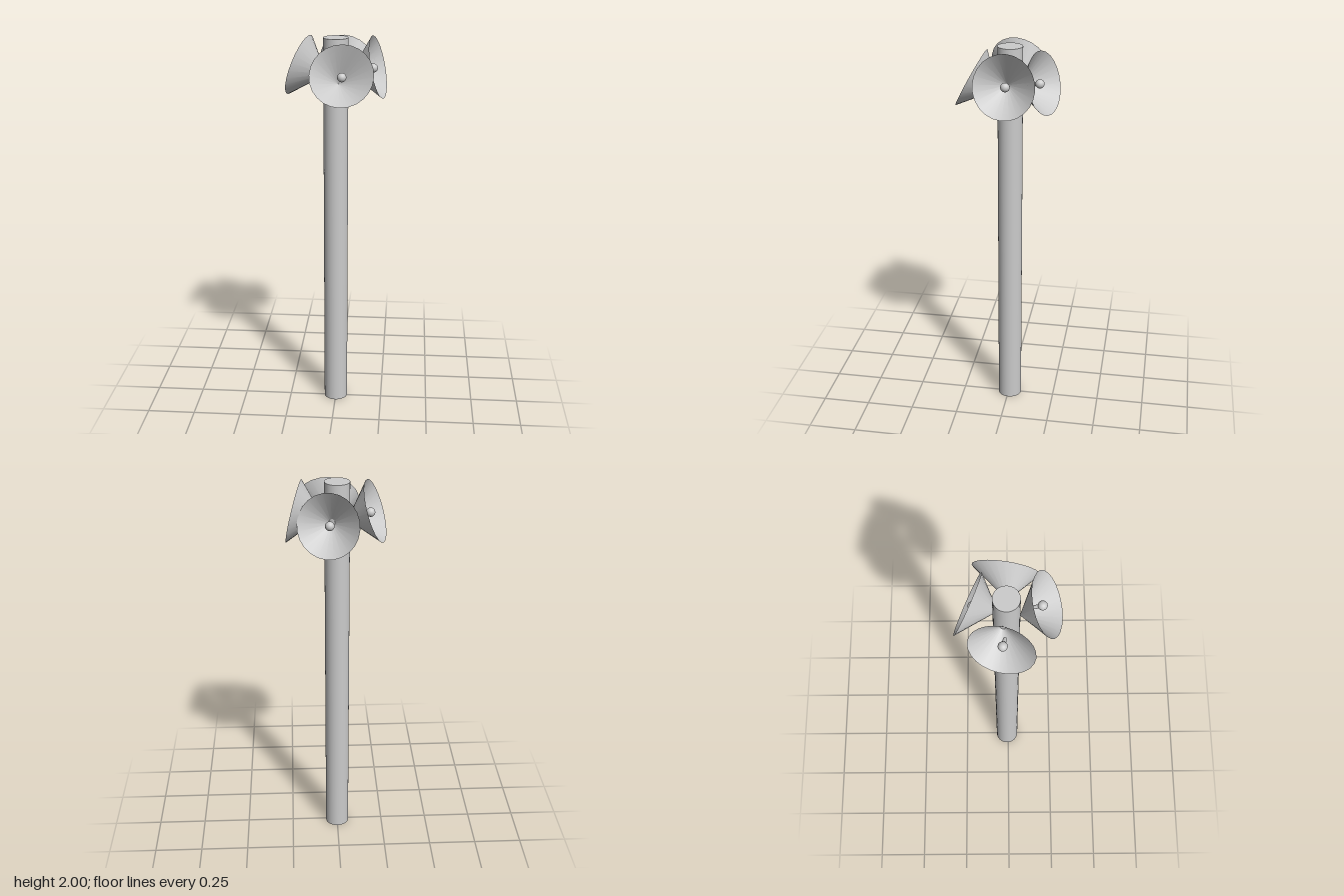
import * as THREE from 'three';

const RIM = 0.157, DEPTH = 0.14, SKEW = 0.027;

export function createModel() {
  const model = new THREE.Group();
  model.name = 'floodlightPole';
  const solid = new THREE.MeshStandardMaterial({ color: 0xcccccc });
  const thin = new THREE.MeshStandardMaterial({ color: 0xcccccc, side: THREE.DoubleSide });

  function add(parent, name, geometry, material) {
    const mesh = new THREE.Mesh(geometry, material);
    mesh.name = name;
    parent.add(mesh);
    return mesh;
  }

  // Upright pole
  add(model, 'pole', new THREE.CylinderGeometry(0.0625, 0.0625, 1.99, 32), solid)
    .position.set(0, 0.995, -0.007);

  // Conical reflector opening toward +z, its tip skewed sideways to meet the pole
  const reflector = new THREE.ConeGeometry(RIM, DEPTH, 24, 1, true);
  reflector.rotateX(-Math.PI / 2);
  reflector.translate(0, 0, -DEPTH / 2);
  const k = SKEW / DEPTH;
  reflector.applyMatrix4(new THREE.Matrix4().set(1, 0, k, 0, 0, 1, 0, 0, 0, 0, 1, 0, 0, 0, 0, 1));

  // Bulb and its short stem, on the axis of the rim
  const bulb = new THREE.SphereGeometry(0.0225, 20, 14);
  bulb.translate(0, 0, -0.025);
  const stem = new THREE.CylinderGeometry(0.009, 0.009, 0.045, 12);
  stem.rotateX(Math.PI / 2);
  stem.translate(0, 0, -0.05);

  // Four lamps around the top: rim centre, heading and upward tilt
  const lamps = [
    { name: 'frontLamp', at: [0.04, 1.838, 0.178], yaw: -0.03, tilt: 0.49 },
    { name: 'leftLamp', at: [0.21, 1.846, -0.008], yaw: 1.41, tilt: 0.22 },
    { name: 'backLamp', at: [0.05, 1.828, -0.182], yaw: 2.79, tilt: 0.26 },
    { name: 'rightLamp', at: [-0.184, 1.848, -0.03], yaw: -1.81, tilt: 0.33 },
  ];
  for (const { name, at, yaw, tilt } of lamps) {
    const lamp = new THREE.Group();
    lamp.name = name;
    lamp.position.set(...at);
    lamp.rotation.set(-tilt, yaw, 0, 'YXZ');
    add(lamp, 'reflector', reflector, thin);
    add(lamp, 'bulb', bulb, solid);
    add(lamp, 'stem', stem, solid);
    model.add(lamp);
  }
  return model;
}
